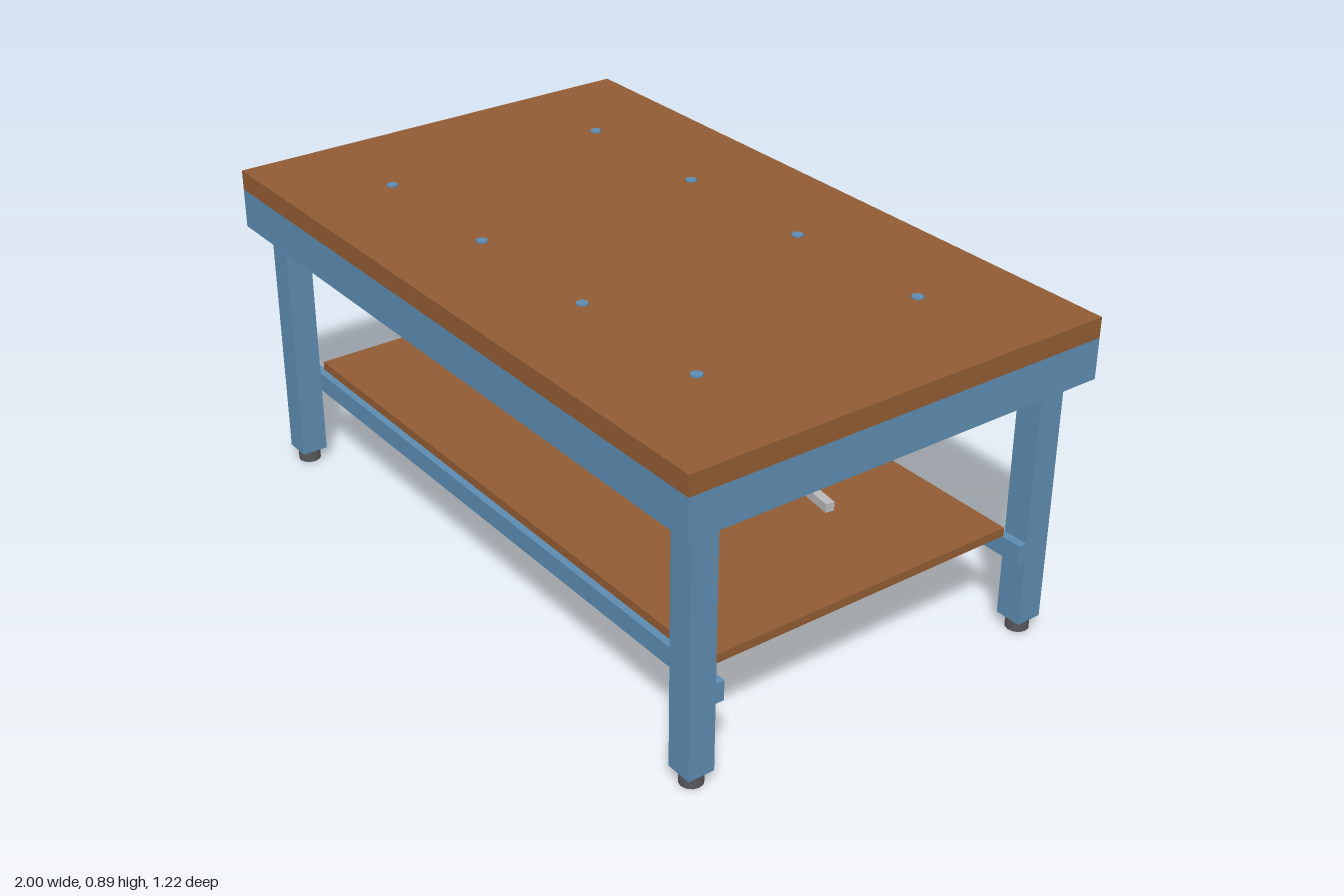
import * as THREE from 'three';

const mat = (name, color) => {
  const m = new THREE.MeshStandardMaterial({ color });
  m.name = name;
  return m;
};

export function createModel() {
  const model = new THREE.Group();
  model.name = 'workbench';

  const wood = mat('wood', 0x905b33);
  const handleWood = mat('handle wood', 0xa0582c);
  const frameBlue = mat('blue frame', 0x5c8bb0);
  const darkSteel = mat('dark steel', 0x67686c);
  const rubber = mat('foot rubber', 0x58585c);
  const brightSteel = mat('bright steel', 0xb8b8ba);

  const add = (parent, name, geometry, material, x, y, z) => {
    const mesh = new THREE.Mesh(geometry, material);
    mesh.name = name;
    mesh.position.set(x, y, z);
    parent.add(mesh);
    return mesh;
  };
  // Box given by its minimum and maximum on each axis
  const box = (parent, name, material, [x0, x1], [y0, y1], [z0, z1]) =>
    add(parent, name, new THREE.BoxGeometry(x1 - x0, y1 - y0, z1 - z0), material,
      (x0 + x1) / 2, (y0 + y1) / 2, (z0 + z1) / 2);
  const mirrored = (a, b, s) => (s > 0 ? [a, b] : [-b, -a]);

  // Top and shelf boards
  box(model, 'tabletop', wood, [-1, 1], [0.835, 0.89], [-0.61, 0.61]);
  box(model, 'shelf', wood, [-0.89, 0.89], [0.28, 0.304], [-0.467, 0.467]);

  // Apron frame, shelf rails, legs and feet
  const t = 0.06;
  const footGeometry = new THREE.CylinderGeometry(0.031, 0.031, 0.037, 12);
  for (const s of [1, -1]) {
    box(model, 'longApron', frameBlue, [-1, 1], [0.725, 0.835], mirrored(0.61 - t, 0.61, s));
    box(model, 'endApron', frameBlue, mirrored(1 - t, 1, s), [0.725, 0.835], [t - 0.61, 0.61 - t]);
    box(model, 'shelfRail', frameBlue, [-0.95, 0.95], [0.225, 0.28], mirrored(0.463, 0.487, s));
    for (const u of [1, -1]) {
      box(model, 'leg', frameBlue, mirrored(0.875, 0.95, u), [0.037, 0.834], mirrored(0.487, 0.561, s));
      add(model, 'foot', footGeometry, rubber, u * 0.9125, 0.0185, s * 0.524);
    }
  }

  // Bolt heads on the tabletop
  const boltGeometry = new THREE.CylinderGeometry(0.016, 0.016, 0.008, 8);
  for (const x of [-0.667, -0.222, 0.222, 0.667])
    for (const z of [-0.333, 0.333])
      add(model, 'boltHead', boltGeometry, frameBlue, x, 0.89, z);

  // Bar clamp: fixed jaw at one end, sliding jaw with screw and cross handle
  const makeClamp = (length, x, z, angle) => {
    const clamp = new THREE.Group();
    clamp.name = 'barClamp';
    clamp.position.set(x, 0.334, z);
    clamp.rotation.y = angle;
    const a = -length / 2;
    const b = a + length - 0.152;
    const depth = [-0.0135, 0.0135];
    box(clamp, 'clampBar', brightSteel, [a, -a], [0, 0.025], [-0.0125, 0.0125]);
    box(clamp, 'fixedJawPost', darkSteel, [a, a + 0.035], [0.025, 0.181], depth);
    box(clamp, 'fixedJawArm', darkSteel, [a + 0.035, a + 0.113], [0.152, 0.181], depth);
    box(clamp, 'slidingJawPost', darkSteel, [b, b + 0.037], [0.025, 0.157], depth);
    box(clamp, 'slidingJawArm', darkSteel, [b + 0.037, b + 0.115], [0.129, 0.157], depth);
    add(clamp, 'clampScrew', new THREE.CylinderGeometry(0.008, 0.008, 0.078, 8), darkSteel,
      b + 0.107, 0.091, 0);
    add(clamp, 'clampHandle', new THREE.CylinderGeometry(0.007, 0.007, 0.1, 8), handleWood,
      b + 0.107, 0.057, 0).rotation.x = Math.PI / 2;
    model.add(clamp);
  };
  makeClamp(0.55, -0.337, 0.113, 0.18);
  makeClamp(0.46, 0.385, -0.165, -0.13);

  return model;
}
